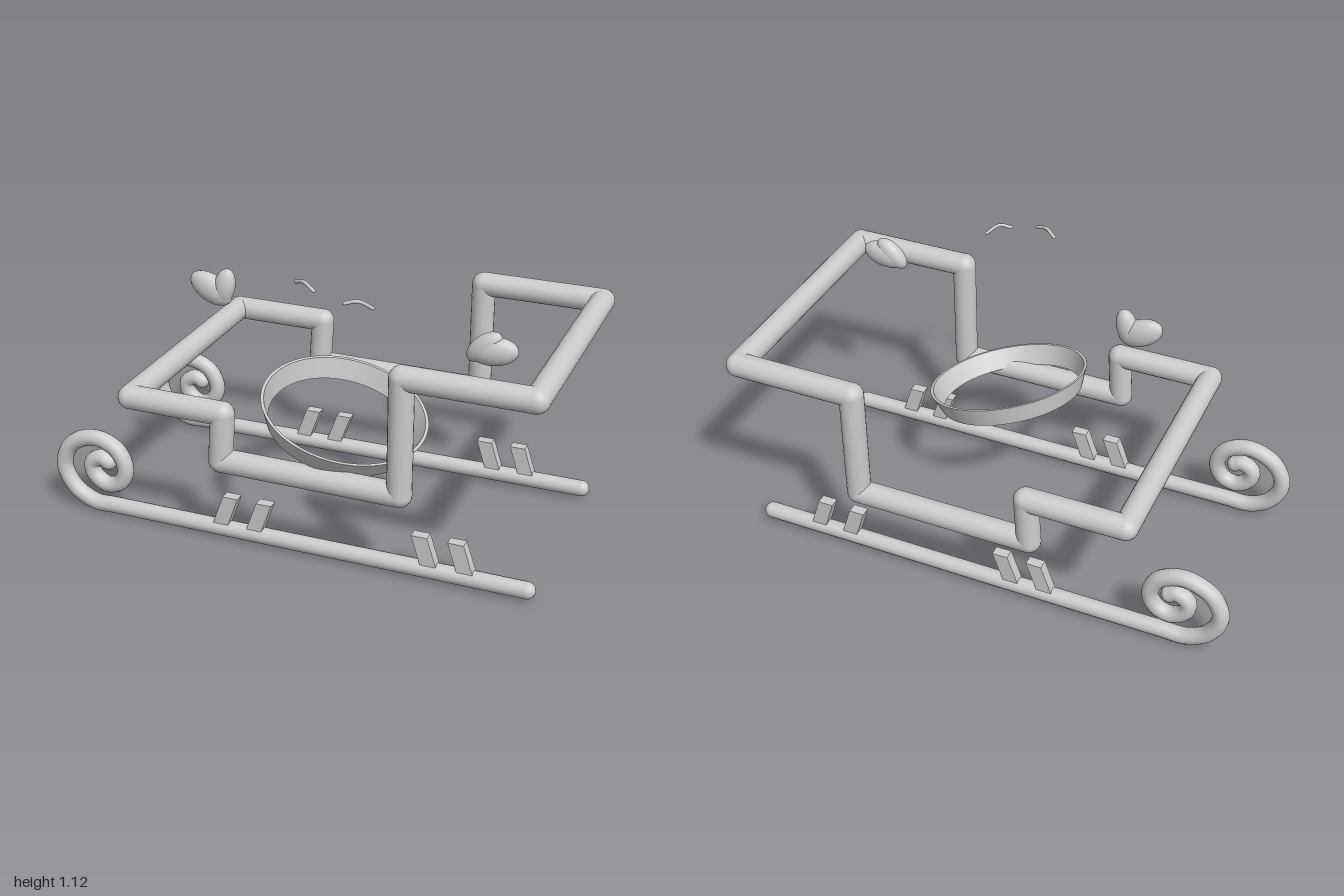
import * as THREE from 'three';

const grey = new THREE.MeshStandardMaterial({ color: 0xcccccc });
const V = (x, y, z) => new THREE.Vector3(x, y, z);

function add(parent, name, geometry, material = grey) {
  const mesh = new THREE.Mesh(geometry, material);
  mesh.name = name;
  parent.add(mesh);
  return mesh;
}

// Smooth tube through points with rounded ends
function roundTube(parent, name, curve, segments, radius, sides) {
  const group = new THREE.Group();
  group.name = name;
  add(group, name + 'Tube', new THREE.TubeGeometry(curve, segments, radius, sides));
  for (const t of [0, 1]) {
    add(group, name + 'End', new THREE.SphereGeometry(radius, sides, 10)).position.copy(curve.getPoint(t));
  }
  parent.add(group);
}

// Straight bar between two points
function bar(parent, name, a, b, radius) {
  const dir = b.clone().sub(a);
  const mesh = add(parent, name, new THREE.CylinderGeometry(radius, radius, dir.length(), 20, 1, true));
  mesh.position.copy(a).add(b).multiplyScalar(0.5);
  mesh.quaternion.setFromUnitVectors(V(0, 1, 0), dir.normalize());
}

// Runner: straight rail ending in a spiral curl
function runner(parent, z) {
  const points = [
    [0.94, 0.042], [0.5, 0.041], [0, 0.038], [-0.5, 0.036], [-0.74, 0.035], [-0.84, 0.036],
    [-0.925, 0.085], [-0.966, 0.18], [-0.925, 0.275], [-0.82, 0.32], [-0.725, 0.285],
    [-0.69, 0.21], [-0.715, 0.145], [-0.775, 0.124], [-0.83, 0.16], [-0.838, 0.21], [-0.795, 0.238], [-0.765, 0.225],
  ].map(([x, y]) => V(x, y, z));
  roundTube(parent, 'runner', new THREE.CatmullRomCurve3(points, false, 'centripetal'), 160, 0.033, 14);
}

// Leaning strut: a box sheared along x
function strut(parent, x, z, lean) {
  const geometry = new THREE.BoxGeometry(0.062, 0.13, 0.042);
  geometry.applyMatrix4(new THREE.Matrix4().makeShear(0, 0, lean, 0, 0, 0));
  add(parent, 'strut', geometry).position.set(x, 0.118, z);
}

// Mitten: two flattened ellipsoids, fingers and thumb
function mitten(parent, name, lobes) {
  const group = new THREE.Group();
  group.name = name;
  for (const [part, x, y, z, length, width, depth, angle] of lobes) {
    const mesh = add(group, part, new THREE.SphereGeometry(1, 24, 16));
    mesh.position.set(x, y, z);
    mesh.scale.set(length, width, depth);
    mesh.rotation.z = THREE.MathUtils.degToRad(angle);
  }
  parent.add(group);
}

export function createModel() {
  const model = new THREE.Group();
  model.name = 'sled';

  for (const z of [0.41, -0.41]) {
    runner(model, z);
    for (const x of [-0.252, -0.112]) strut(model, x, z, 0.36);
    for (const x of [0.553, 0.693]) strut(model, x, z, -0.32);
  }

  // Body frame: one closed loop of bars, stepped alike on both sides
  const frame = new THREE.Group();
  frame.name = 'bodyFrame';
  const profile = [[-0.61, 0.565], [-0.225, 0.565], [-0.237, 0.37], [0.47, 0.37], [0.47, 0.83], [0.95, 0.83]];
  const loop = [
    ...profile.map(([x, y]) => V(x, y, 0.479)),
    ...profile.map(([x, y]) => V(x, y, -0.495)).reverse(),
  ];
  const r = 0.047;
  loop.forEach((p, i) => {
    bar(frame, 'frameBar', p, loop[(i + 1) % loop.length], r);
    add(frame, 'frameCorner', new THREE.SphereGeometry(r, 20, 14)).position.copy(p);
  });
  model.add(frame);

  // Tilted belt: thin conical band, wider at the top
  const wall = [[0.29, -0.08], [0.322, 0], [0.31, 0], [0.28, -0.08], [0.29, -0.08]]
    .map(([x, y]) => new THREE.Vector2(x, y));
  const belt = new THREE.Group();
  belt.name = 'belt';
  for (let i = 0; i < 4; i++) {
    add(belt, 'beltFace', new THREE.LatheGeometry([wall[i], wall[i + 1]], 64));
  }
  belt.position.set(0.155, 0.535, 0.21);
  belt.quaternion.setFromUnitVectors(V(0, 1, 0), V(0.27, 1, 0.14).normalize());
  model.add(belt);

  mitten(model, 'rightMitten', [
    ['fingers', -0.408, 0.923, 0.172, 0.092, 0.055, 0.038, -28],
    ['thumb', -0.353, 0.935, 0.172, 0.077, 0.042, 0.034, 76],
  ]);
  mitten(model, 'leftMitten', [
    ['fingers', 0.745, 0.908, 0.312, 0.092, 0.053, 0.038, 8],
    ['thumb', 0.713, 0.92, 0.312, 0.078, 0.042, 0.034, 42],
  ]);

  // Thin arched brows
  const brows = [
    [V(0.045, 1.1, 0.41), V(0.088, 1.114, 0.438), V(0.135, 1.096, 0.463)],
    [V(0.25, 1.068, 0.463), V(0.295, 1.076, 0.448), V(0.338, 1.046, 0.418)],
  ];
  for (const points of brows) {
    roundTube(model, 'brow', new THREE.CatmullRomCurve3(points), 20, 0.007, 10);
  }

  return model;
}
